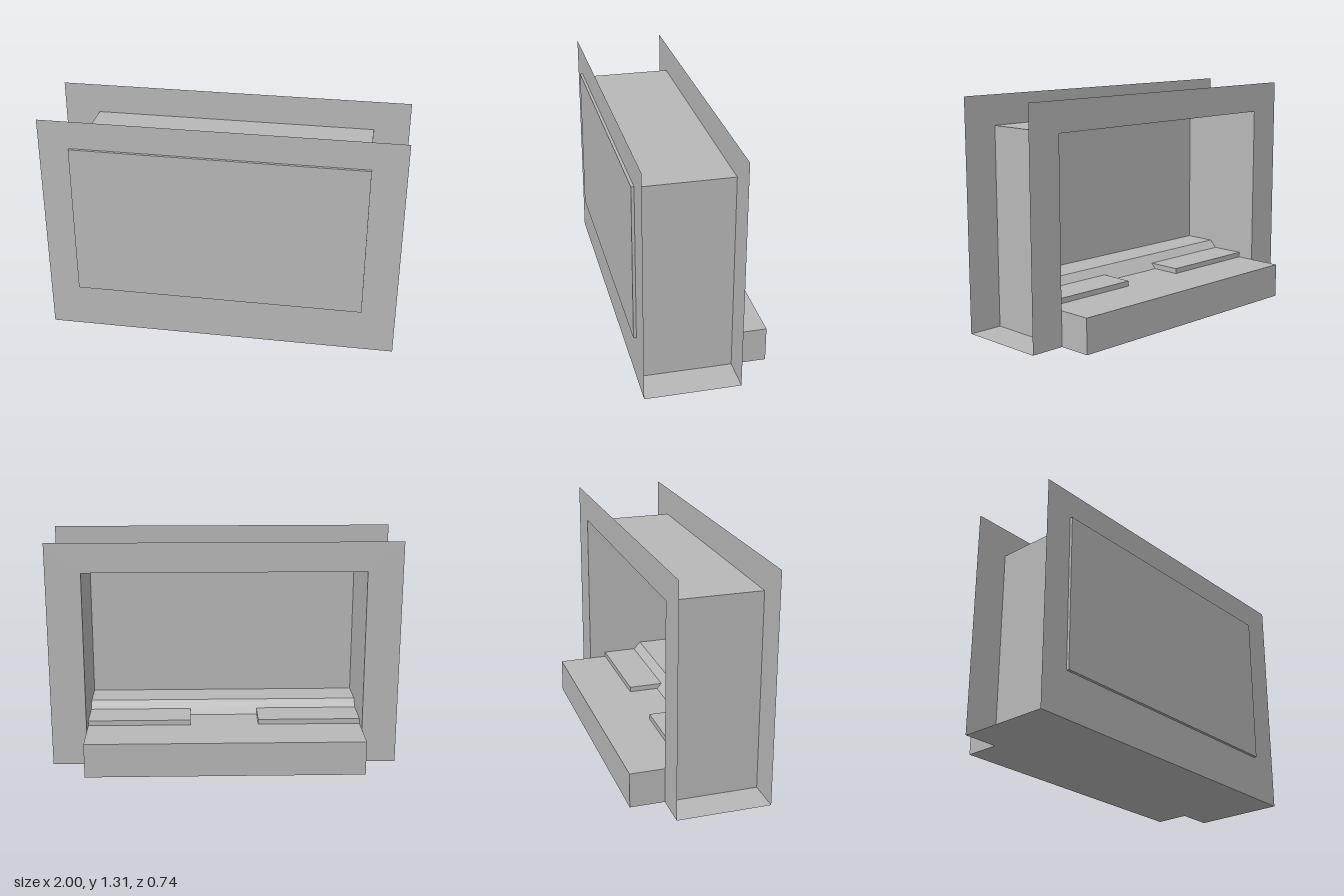
import * as THREE from 'three';

export function createModel() {
  const group = new THREE.Group();
  const grey = new THREE.MeshStandardMaterial({ color: 0xb8b8b8, side: THREE.DoubleSide });
  grey.name = 'plain grey';

  const FRONT = 0.355, BACK = -0.175, DEPTH = FRONT - BACK, MID = (FRONT + BACK) / 2;
  const HALF = 0.8, ROOF = 1.14, HEIGHT = 1.31;

  const add = (name, geometry, x = 0, y = 0, z = 0) => {
    const mesh = new THREE.Mesh(geometry, grey);
    mesh.name = name;
    mesh.position.set(x, y, z);
    group.add(mesh);
    return mesh;
  };
  // Box given by its minimum and maximum corners
  const box = (name, [x0, y0, z0], [x1, y1, z1]) =>
    add(name, new THREE.BoxGeometry(x1 - x0, y1 - y0, z1 - z0),
      (x0 + x1) / 2, (y0 + y1) / 2, (z0 + z1) / 2);

  // Thin upright sheet at the front, with its raised panel
  add('frontSheet', new THREE.PlaneGeometry(2, HEIGHT), 0, HEIGHT / 2, FRONT);
  box('frontPanel', [-0.83, 0.26, FRONT], [0.81, 1.15, 0.371]);

  // Thin back sheet with a large doorway open to the ground
  const frame = new THREE.Shape([
    [-1, 0], [-HALF, 0], [-HALF, ROOF], [HALF, ROOF],
    [HALF, 0], [1, 0], [1, HEIGHT], [-1, HEIGHT],
  ].map(([x, y]) => new THREE.Vector2(x, y)));
  add('backFrame', new THREE.ShapeGeometry(frame), 0, 0, BACK);

  // Sheet underneath that joins front and back
  add('groundSheet', new THREE.PlaneGeometry(2, DEPTH), 0, 0, MID).rotation.x = -Math.PI / 2;

  // Walls and roof of the recess
  add('recessRoof', new THREE.PlaneGeometry(2 * HALF, DEPTH), 0, ROOF, MID).rotation.x = -Math.PI / 2;
  for (const side of [-1, 1]) {
    add('recessWall', new THREE.PlaneGeometry(DEPTH, ROOF), side * HALF, ROOF / 2, MID)
      .rotation.y = side * Math.PI / 2;
  }

  // Raised floor that sticks out at the back as a ledge
  box('floorLedge', [-HALF, 0, -0.37], [HALF, 0.2, FRONT]);

  // Low pads on the floor, left and right
  for (const side of [-1, 1]) {
    add('floorPad', new THREE.BoxGeometry(0.6, 0.03, 0.2), side * 0.5, 0.215, 0.025);
  }

  // Step along the inner wall with a slanted face; profile drawn as (-z, y)
  const profile = new THREE.Shape([
    [-FRONT, 0.2], [-0.097, 0.2], [-0.167, 0.273], [-FRONT, 0.273],
  ].map(([x, y]) => new THREE.Vector2(x, y)));
  const step = new THREE.ExtrudeGeometry(profile, { depth: 2 * HALF, bevelEnabled: false });
  add('slantedStep', step, -HALF, 0, 0).rotation.y = Math.PI / 2;

  return group;
}
